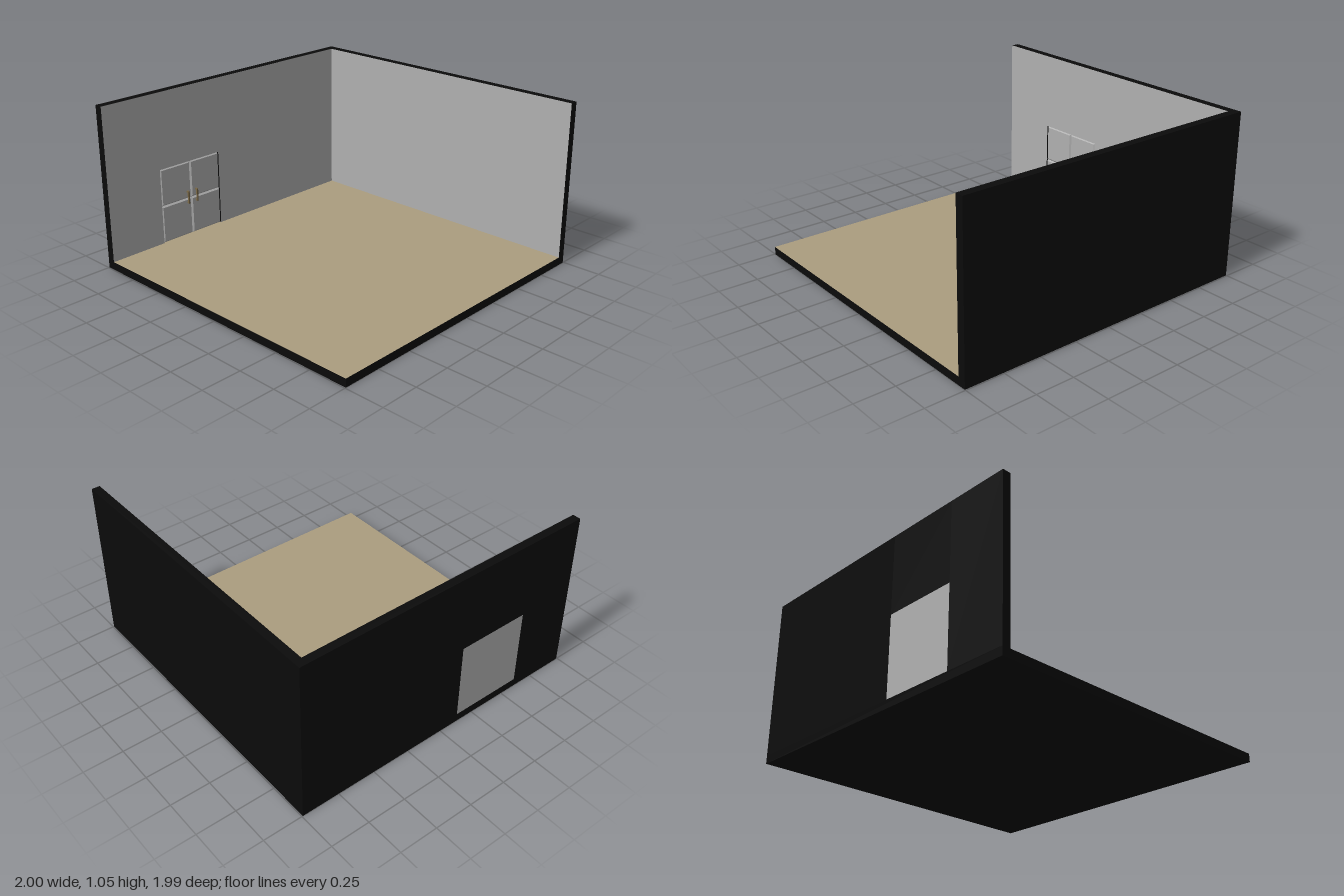
import * as THREE from 'three';

const T = 0.052, TOP = 1.047, D = 0.994; // slab thickness, wall top, half depth
const IN = -1 + T;                       // inner face of the side wall
const DOOR = { z0: 0.13, z1: 0.605, top: 0.55 };

const mat = (name, color) => Object.assign(new THREE.MeshStandardMaterial({ color }), { name });

export function createModel() {
  const room = new THREE.Group();
  room.name = 'room';
  const black = mat('black shell', 0x0b0b0b);
  const grey = mat('grey plaster', 0xb0b0b0);
  const tan = mat('tan floor', 0xab9d7f);
  const bronze = mat('bronze handle', 0x7c6a48);

  // Box given by its limits; one face (in +x -x +y -y +z -z order) may be painted.
  function box(name, x, y, z, base, face = -1, paint = base, parent = room) {
    const g = new THREE.BoxGeometry(x[1] - x[0], y[1] - y[0], z[1] - z[0]);
    const m = new THREE.Mesh(g, face < 0 ? base : [0, 1, 2, 3, 4, 5].map(i => (i === face ? paint : base)));
    m.position.set((x[0] + x[1]) / 2, (y[0] + y[1]) / 2, (z[0] + z[1]) / 2);
    m.name = name;
    parent.add(m);
  }

  // Floor and back wall
  box('floor', [-1, 1], [0, T], [-D, D], black, 2, tan);
  box('backWall', [IN, 1], [T, TOP], [-D, -D + T], black, 4, grey);

  // Side wall, in three pieces around the doorway
  box('sideWallRear', [-1, IN], [T, TOP], [-D, DOOR.z0], black, 0, grey);
  box('sideWallFront', [-1, IN], [T, TOP], [DOOR.z1, D], black, 0, grey);
  box('sideWallLintel', [-1, IN], [DOOR.top, TOP], [DOOR.z0, DOOR.z1], black, 0, grey);

  // Double door: a slab carrying four bevelled panels
  const door = new THREE.Group();
  door.name = 'doubleDoor';
  room.add(door);
  box('doorSlab', [-1, IN - 0.01], [T, DOOR.top], [DOOR.z0, DOOR.z1], grey, -1, grey, door);

  const bevel = 0.01;
  function panel(zc, yc, w, h) {
    const a = w / 2 - bevel, b = h / 2 - bevel;
    const s = new THREE.Shape([[-a, -b], [a, -b], [a, b], [-a, b]].map(p => new THREE.Vector2(...p)));
    const g = new THREE.ExtrudeGeometry(s, {
      depth: 0.002, bevelSize: bevel, bevelThickness: bevel, bevelSegments: 1,
    });
    g.rotateY(Math.PI / 2);
    const m = new THREE.Mesh(g, grey);
    m.position.set(IN - 0.012, yc, zc);
    m.name = 'doorPanel';
    door.add(m);
  }
  const w = (DOOR.z1 - DOOR.z0) / 2, h = (DOOR.top - T) / 2;
  for (const i of [0.5, 1.5]) {
    for (const j of [0.5, 1.5]) panel(DOOR.z0 + w * i, T + h * j, w, h);
  }

  // Bracket handles on either side of the centre seam
  for (const z of [0.33, 0.4]) {
    const zz = [z - 0.005, z + 0.005];
    box('handleGrip', [-0.94, -0.93], [0.27, 0.355], zz, bronze, -1, bronze, door);
    for (const y of [0.27, 0.345]) {
      box('handleMount', [IN - 0.005, -0.94], [y, y + 0.01], zz, bronze, -1, bronze, door);
    }
  }
  return room;
}
